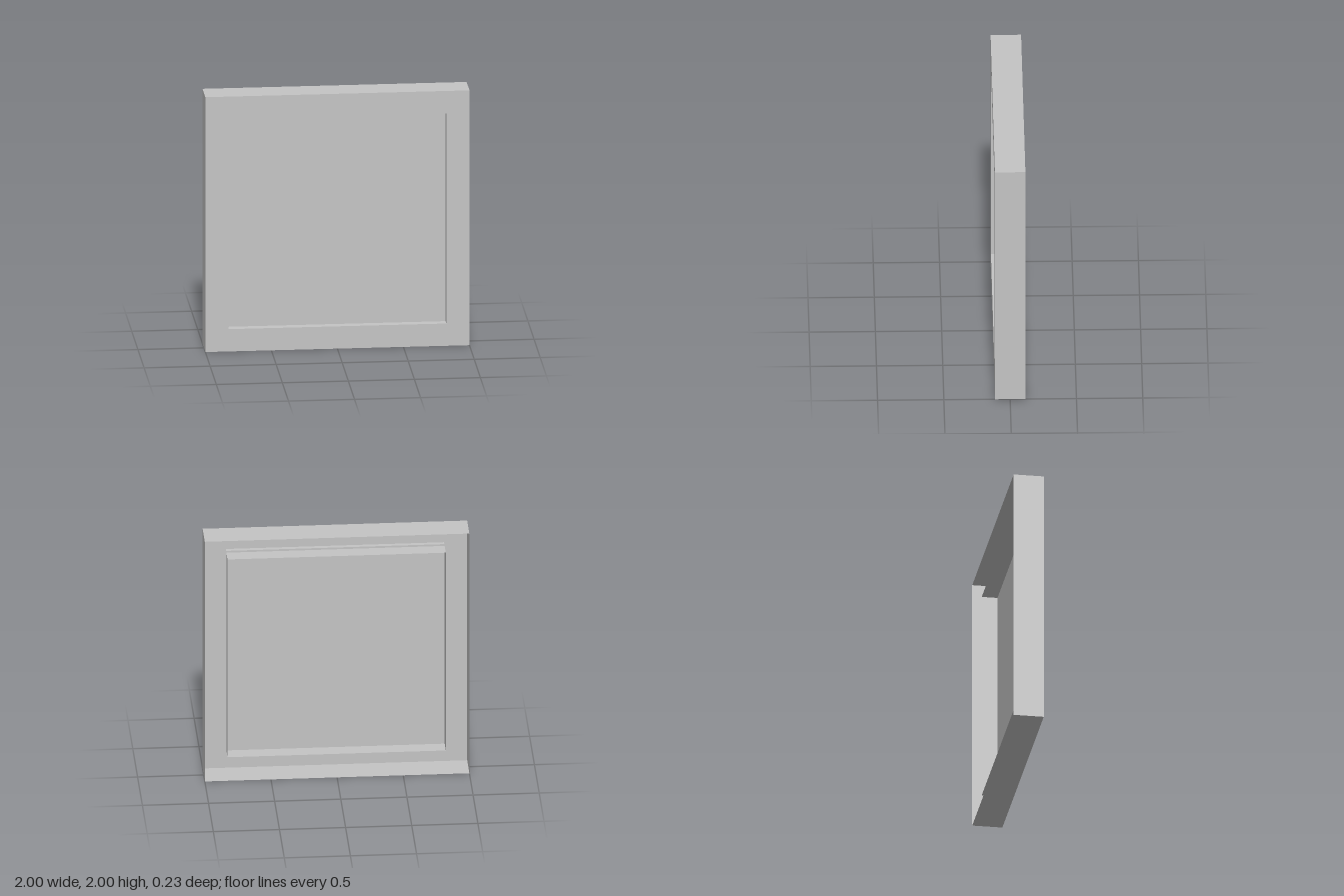
import * as THREE from 'three';

const HALF = 1, OPENING = 0.825, LIP = 0.84;
const FRONT = 0.115, BACK = -0.115, PANEL = 0.05, RIM = -0.07;

export function createModel() {
  const group = new THREE.Group();
  const gray = new THREE.MeshStandardMaterial({ color: 0xc4c4c4, side: THREE.DoubleSide });
  gray.name = 'light gray';

  const add = (name, geometry) => {
    const mesh = new THREE.Mesh(geometry, gray);
    mesh.name = name;
    mesh.position.y = HALF;
    group.add(mesh);
    return mesh;
  };

  // Square open sleeve of thin walls running from z0 to z1
  const sleeve = (name, half, z0, z1) => {
    const r = half * Math.SQRT2;
    const g = new THREE.CylinderGeometry(r, r, z1 - z0, 4, 1, true, Math.PI / 4)
      .rotateX(Math.PI / 2).toNonIndexed();
    g.computeVertexNormals();
    add(name, g).position.z = (z0 + z1) / 2;
  };

  const square = (path, h) => {
    path.moveTo(-h, -h).lineTo(h, -h).lineTo(h, h).lineTo(-h, h).closePath();
    return path;
  };

  // Outer frame: side walls and a front face with a square opening, open at the back
  sleeve('outerWalls', HALF, BACK, FRONT);
  const face = square(new THREE.Shape(), HALF);
  face.holes.push(square(new THREE.Path(), OPENING));
  add('frontFace', new THREE.ShapeGeometry(face)).position.z = FRONT;

  // Reveal leading from the opening back to the panel
  sleeve('openingReveal', OPENING, PANEL, FRONT);

  // Recessed panel with a small lip around it, and the rim standing up behind it
  add('panel', new THREE.PlaneGeometry(2 * LIP, 2 * LIP)).position.z = PANEL;
  sleeve('backRim', OPENING, RIM, PANEL);

  return group;
}
